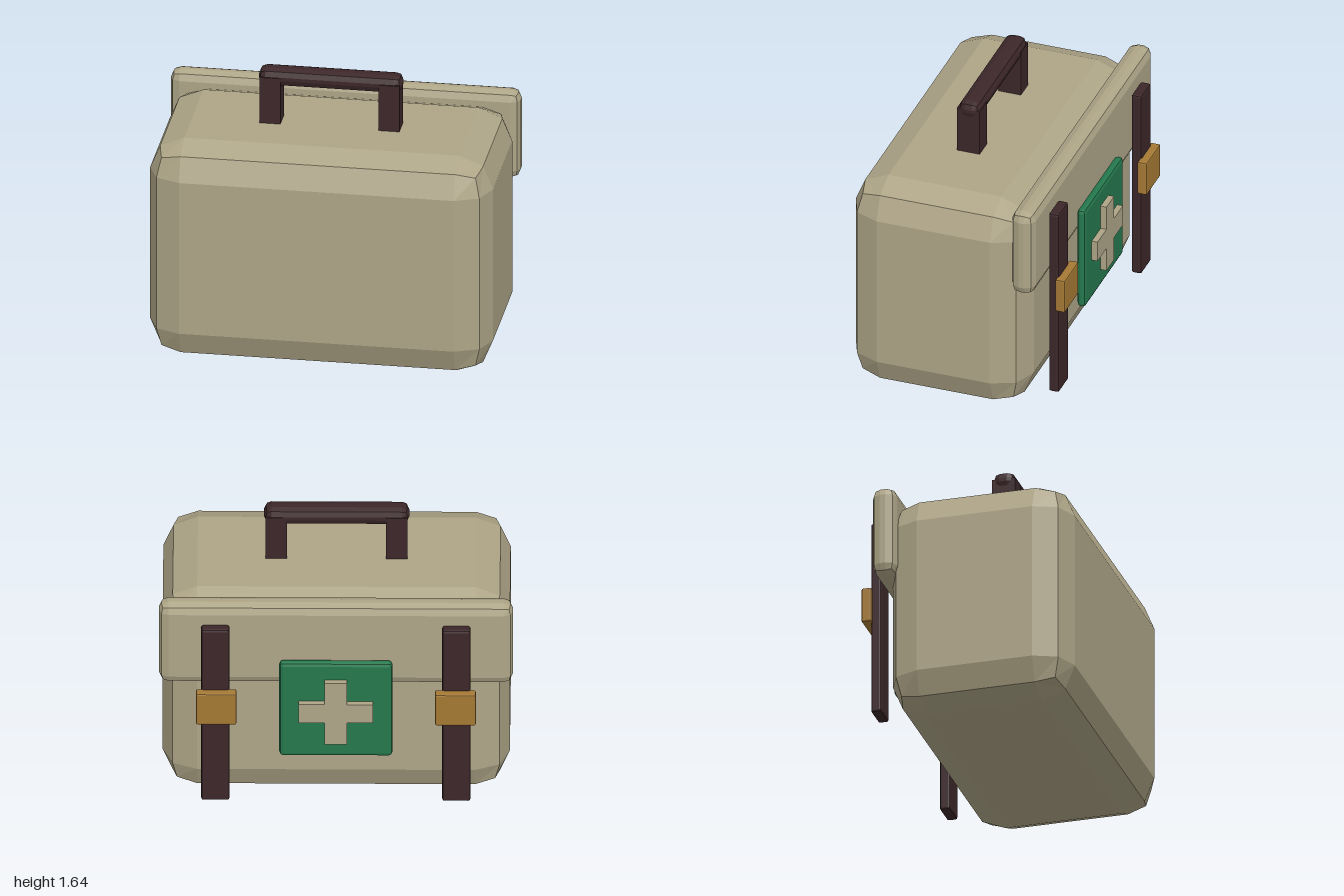
import * as THREE from 'three';
import { RoundedBoxGeometry } from 'three/addons/geometries/RoundedBoxGeometry.js';

const mat = (name, color) => {
  const m = new THREE.MeshStandardMaterial({ color });
  m.name = name;
  return m;
};

export function createModel() {
  const canvas = mat('khaki canvas', 0xaea587);
  const leather = mat('dark leather', 0x3c2729);
  const brass = mat('brass', 0xa57934);
  const green = mat('green', 0x24784d);

  const group = new THREE.Group();
  group.name = 'medicalBag';

  // Box between two corners, with faceted two-step bevels of radius r
  const box = (name, material, [x0, x1], [y0, y1], [z0, z1], r) => {
    const size = [x1 - x0, y1 - y0, z1 - z0];
    const geo = r ? new RoundedBoxGeometry(...size, 1, r) : new THREE.BoxGeometry(...size);
    if (r) geo.computeVertexNormals(); // unshared corners give flat facets
    const mesh = new THREE.Mesh(geo, material);
    mesh.position.set((x0 + x1) / 2, (y0 + y1) / 2, (z0 + z1) / 2);
    mesh.name = name;
    group.add(mesh);
  };

  // Bag and closing flap
  box('body', canvas, [-0.98, 0.98], [0, 1.32], [-0.44, 0.63], 0.195);
  box('flap', canvas, [-1, 1], [0.825, 1.36], [-0.51, -0.37], 0.055);

  // Carrying handle
  box('handleGrip', leather, [-0.41, 0.41], [1.54, 1.645], [0.03, 0.157], 0.042);

  for (const [side, s] of [['left', 1], ['right', -1]]) {
    const span = (a, b) => (s > 0 ? [a, b] : [-b, -a]);
    box(side + 'HandlePost', leather, span(0.28, 0.4), [1.3, 1.6], [0.027, 0.163]);
    // Straps with buckles
    box(side + 'Strap', leather, span(0.6, 0.76), [0.075, 1.25], [-0.58, -0.518], 0.013);
    box(side + 'Buckle', brass, span(0.56, 0.79), [0.63, 0.84], [-0.627, -0.568], 0.01);
  }

  // Badge plate
  box('badge', green, [-0.32, 0.32], [0.38, 1.02], [-0.577, -0.525], 0.022);

  // Raised cross on the badge
  const a = 0.21, b = 0.063;
  const outline = [
    [b, a], [-b, a], [-b, b], [-a, b], [-a, -b], [-b, -b],
    [-b, -a], [b, -a], [b, -b], [a, -b], [a, b], [b, b],
  ].map(([x, y]) => new THREE.Vector2(x, y));
  const cross = new THREE.Mesh(
    new THREE.ExtrudeGeometry(new THREE.Shape(outline), { depth: 0.045, bevelEnabled: false }),
    canvas
  );
  cross.name = 'cross';
  cross.position.set(0, 0.7, -0.612);
  group.add(cross);

  return group;
}
